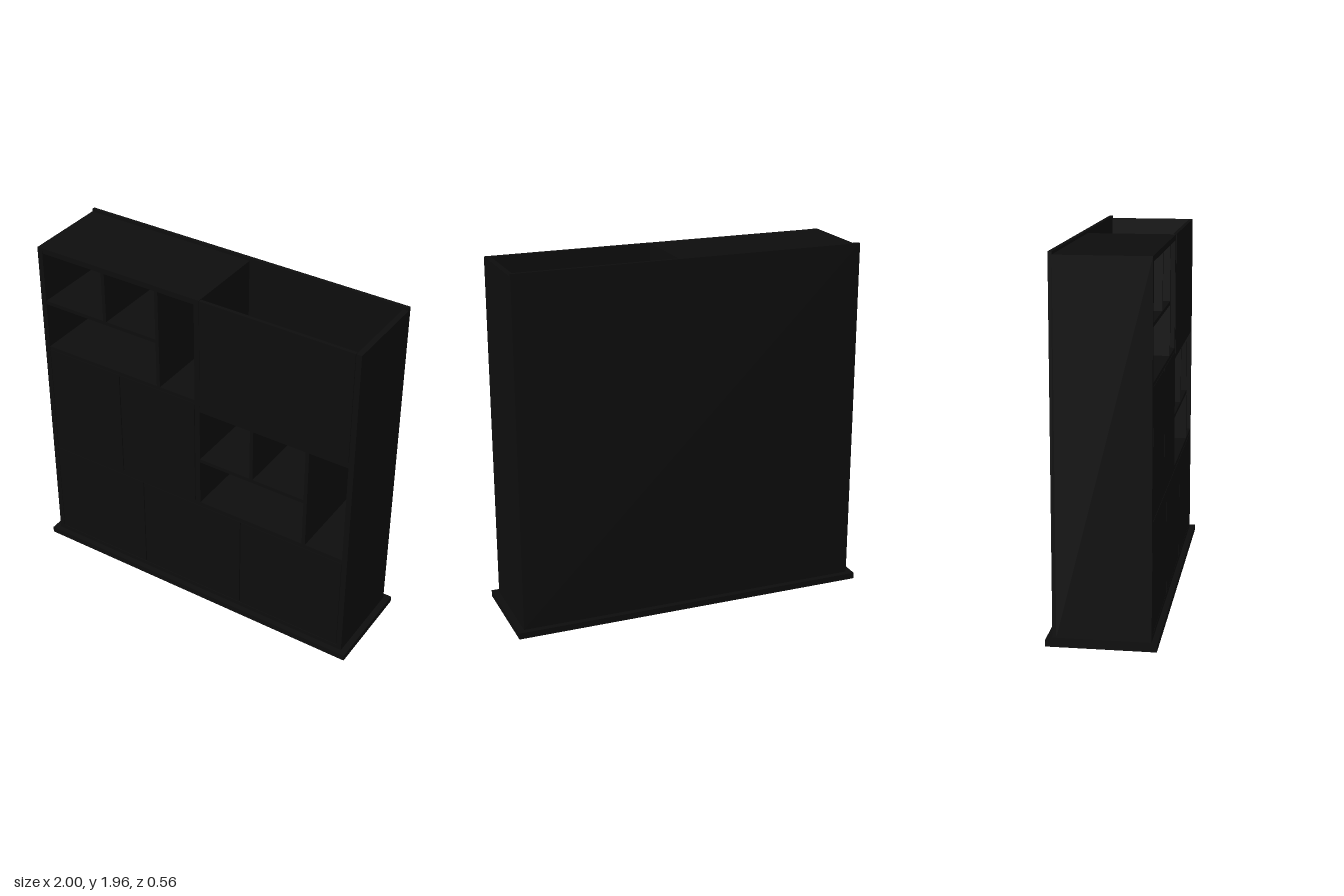
import * as THREE from 'three';

export function createModel() {
  const model = new THREE.Group();
  model.name = 'wallCabinet';
  const material = new THREE.MeshStandardMaterial({ color: 0x0d0d0d });

  // Box given by its limits on each axis
  function board(name, x0, x1, y0, y1, z0 = -0.23, z1 = 0.25) {
    const mesh = new THREE.Mesh(new THREE.BoxGeometry(x1 - x0, y1 - y0, z1 - z0), material);
    mesh.position.set((x0 + x1) / 2, (y0 + y1) / 2, (z0 + z1) / 2);
    mesh.name = name;
    model.add(mesh);
  }

  const T = 0.03; // board thickness
  const upright = (name, x, y0, y1, t = T) => board(name, x - t / 2, x + t / 2, y0, y1, -0.23, 0.248);
  const shelf = (name, y, x0, x1, t = T) => board(name, x0, x1, y - t / 2, y + t / 2, -0.23, 0.248);

  // Outer shell
  board('plinth', -1, 1, 0, 0.035, -0.28, 0.28);
  board('backPanel', -0.965, 0.965, 0.035, 1.965, -0.25, -0.23);
  for (const s of [-1, 1]) {
    board('sidePanel', s * 0.95 - T / 2, s * 0.95 + T / 2, 0.035, 1.95);
  }
  board('cabinetFloor', -0.935, 0.935, 0.035, 0.06);

  // Main divisions
  shelf('lowerDeck', 0.655, -0.935, 0.935);
  shelf('leftDeck', 1.325, -0.935, 0.02);
  shelf('rightDeck', 1.29, 0.05, 0.935);
  upright('centreUpright', 0.035, 0.67, 1.95);
  shelf('leftTop', 1.935, -0.935, 0.02);

  // Upper left open shelves
  upright('upperNicheUpright', -0.21, 1.34, 1.92, 0.02);
  shelf('upperNicheShelf', 1.62, -0.935, -0.22, 0.02);
  upright('upperNicheDivider', -0.545, 1.63, 1.92, 0.02);

  // Right middle open shelves
  upright('lowerNicheUpright', 0.7, 0.67, 1.275, 0.02);
  shelf('lowerNicheShelf', 0.955, 0.05, 0.69, 0.02);
  upright('lowerNicheDivider', 0.37, 0.965, 1.275, 0.02);

  // Rows of doors: seam positions along x, then bottom and top
  const rows = [
    ['lowerDoor', [-0.935, -0.33, 0.31, 0.935], 0.06, 0.645],
    ['middleDoor', [-0.935, -0.465, 0.02], 0.668, 1.32],
    ['upperDoor', [0.05, 0.935], 1.3, 1.95],
  ];
  const gap = 0.003;
  for (const [name, seams, y0, y1] of rows) {
    for (let i = 0; i < seams.length - 1; i++) {
      board(name, seams[i] + gap, seams[i + 1] - gap, y0 + gap, y1, 0.23, 0.25);
      // Partition behind each seam
      if (i > 0) board(name + 'Partition', seams[i] - T / 2, seams[i] + T / 2, y0, y1, -0.23, 0.225);
    }
  }
  return model;
}
